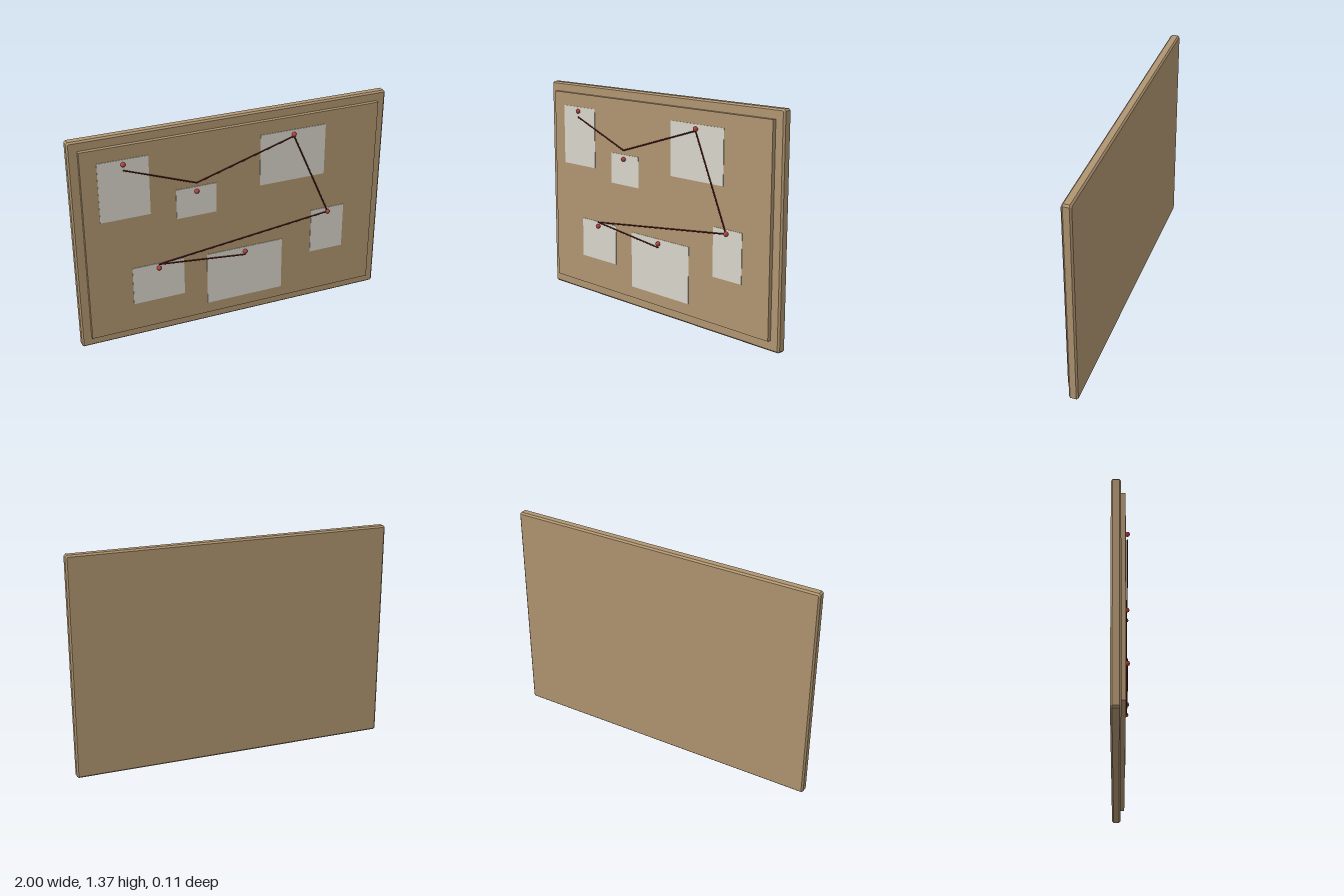
import * as THREE from 'three';

const material = (name, color) => {
  const m = new THREE.MeshStandardMaterial({ color });
  m.name = name;
  return m;
};

export function createModel() {
  const cork = material('cork', 0xb09571);
  const paper = material('paper', 0xd9d6ca);
  const pinRed = material('pin red', 0xb5443c);
  const stringRed = material('string dark red', 0x6e2020);

  const board = new THREE.Group();
  board.name = 'pinBoard';
  const add = (name, geometry, mat, x = 0, y = 0, z = 0) => {
    const mesh = new THREE.Mesh(geometry, mat);
    mesh.name = name;
    mesh.position.set(x, y, z);
    board.add(mesh);
    return mesh;
  };

  // Backing slab with chamfered edges and corners
  const bevel = 0.01, w = 1 - bevel, h = 0.686 - bevel, c = 0.005;
  const outline = new THREE.Shape([
    [-w + c, -h], [w - c, -h], [w, -h + c], [w, h - c],
    [w - c, h], [-w + c, h], [-w, h - c], [-w, -h + c],
  ].map(([x, y]) => new THREE.Vector2(x, y)));
  const slab = new THREE.ExtrudeGeometry(outline, {
    depth: 0.037, bevelEnabled: true, bevelThickness: bevel, bevelSize: bevel, bevelSegments: 1,
  });
  add('backingBoard', slab, cork, 0, 0.686, -0.044);

  // Raised cork panel
  add('corkPanel', new THREE.BoxGeometry(1.88, 1.248, 0.027), cork, 0, 0.689, 0.0135);

  // Paper notes: left, right, bottom, top
  const notes = [
    [-0.843, -0.538, 0.849, 1.229],
    [-0.378, -0.126, 0.779, 0.972],
    [0.158, 0.586, 0.897, 1.229],
    [0.511, 0.736, 0.351, 0.651],
    [-0.667, -0.34, 0.249, 0.501],
    [-0.19, 0.313, 0.137, 0.49],
  ];
  notes.forEach(([l, r, b, t], i) =>
    add(`note${i + 1}`, new THREE.BoxGeometry(r - l, t - b, 0.005), paper, (l + r) / 2, (b + t) / 2, 0.0275));

  // Pins (x, pin y) and the string's turning height at each pin
  const stops = [
    [-0.691, 1.202, 1.165],
    [-0.252, 0.945, 1.001],
    [0.372, 1.202, 1.191],
    [0.621, 0.627, 0.627],
    [-0.503, 0.474, 0.5],
    [0.059, 0.463, 0.44],
  ];
  const z = 0.039;
  const pinHead = new THREE.SphereGeometry(0.0145, 16, 12);
  stops.forEach(([x, y], i) => add(`pin${i + 1}`, pinHead, pinRed, x, y, z));

  // Straight string runs from stop to stop
  const up = new THREE.Vector3(0, 1, 0);
  for (let i = 1; i < stops.length; i++) {
    const a = new THREE.Vector3(stops[i - 1][0], stops[i - 1][2], z);
    const b = new THREE.Vector3(stops[i][0], stops[i][2], z);
    const run = b.clone().sub(a);
    const mid = a.clone().add(b).multiplyScalar(0.5);
    const string = add(`string${i}`, new THREE.CylinderGeometry(0.0042, 0.0042, run.length(), 8), stringRed, mid.x, mid.y, z);
    string.quaternion.setFromUnitVectors(up, run.normalize());
  }

  return board;
}
